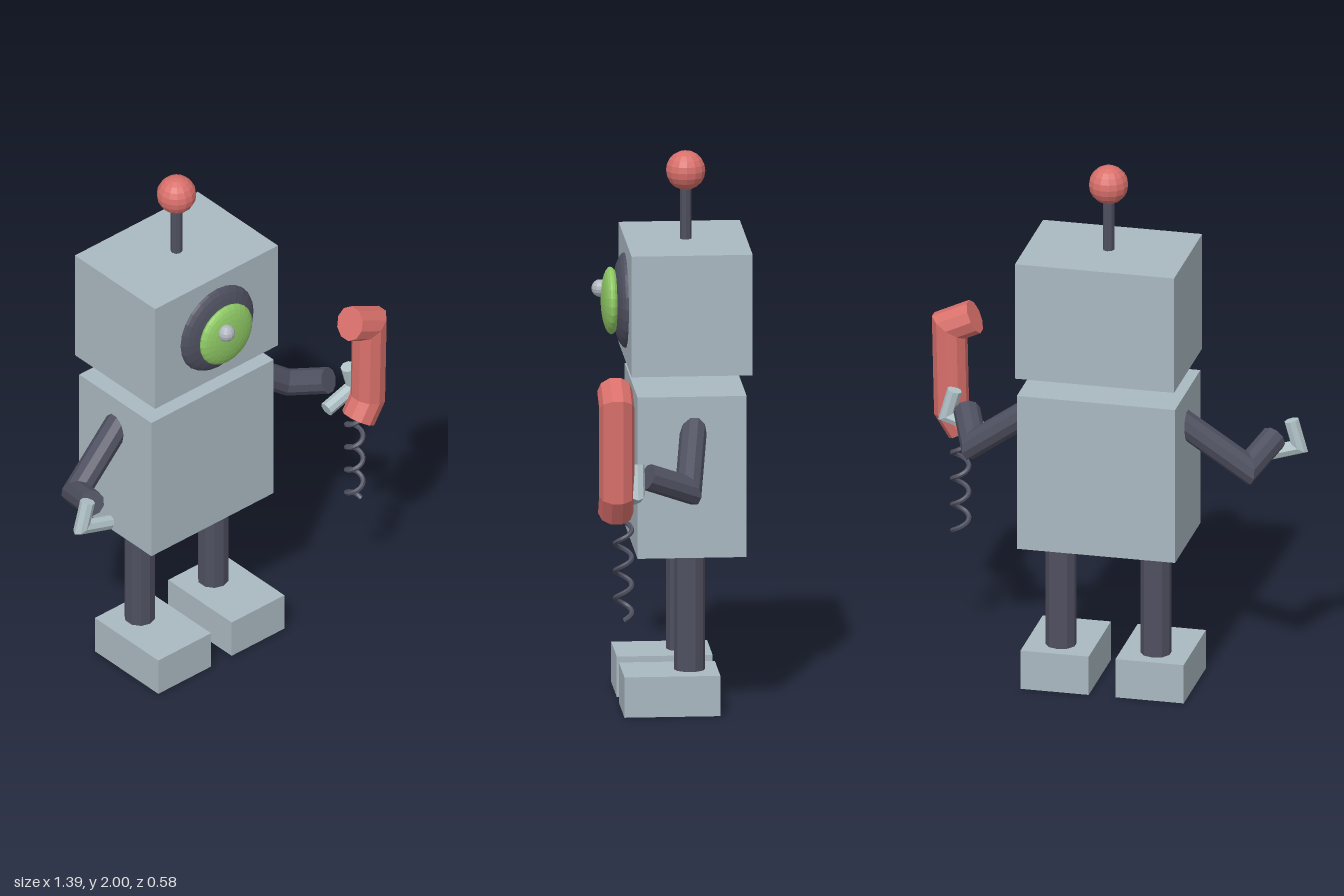
import * as THREE from 'three';

const CX = -0.02; // symmetry line of the body

const mat = (name, color) => {
  const m = new THREE.MeshStandardMaterial({ color, flatShading: true });
  m.name = name;
  return m;
};

// Closed tube of straight segments with mitred bends.
function bentTube(points, radius, sides) {
  const p = points.map((a) => new THREE.Vector3(...a));
  const dirs = p.slice(1).map((q, i) => q.clone().sub(p[i]).normalize());
  const d0 = dirs[0];
  const ref = Math.abs(d0.z) < 0.9 ? new THREE.Vector3(0, 0, 1) : new THREE.Vector3(0, 1, 0);
  const u = ref.addScaledVector(d0, -ref.dot(d0)).normalize();
  const v = d0.clone().cross(u);
  let ring = [];
  for (let j = 0; j < sides; j++) {
    const a = (j / sides) * Math.PI * 2;
    ring.push(p[0].clone().addScaledVector(u, radius * Math.cos(a)).addScaledVector(v, radius * Math.sin(a)));
  }
  const pos = [];
  const tri = (...c) => c.forEach((q) => pos.push(q.x, q.y, q.z));
  for (let j = 0; j < sides; j++) tri(p[0], ring[(j + 1) % sides], ring[j]);
  dirs.forEach((d, i) => {
    // slide the ring along the segment onto the next mitre plane
    const n = d.clone().add(dirs[i + 1] || d).normalize();
    const end = p[i + 1];
    const next = ring.map((q) => q.clone().addScaledVector(d, end.clone().sub(q).dot(n) / d.dot(n)));
    for (let j = 0; j < sides; j++) {
      const k = (j + 1) % sides;
      tri(ring[j], ring[k], next[j]);
      tri(ring[k], next[k], next[j]);
    }
    ring = next;
  });
  for (let j = 0; j < sides; j++) tri(p[p.length - 1], ring[j], ring[(j + 1) % sides]);
  const g = new THREE.BufferGeometry();
  g.setAttribute('position', new THREE.Float32BufferAttribute(pos, 3));
  g.computeVertexNormals();
  return g;
}

export function createModel() {
  const shell = mat('shell grey', 0xa9b8c0);
  const dark = mat('dark metal', 0x4f5060);
  const red = mat('red', 0xd9706b);
  const green = mat('eye green', 0x8fc965);
  const silver = mat('silver', 0xb0b6be);
  const claw = mat('claw grey', 0xb1c3c8);

  const model = new THREE.Group();
  model.name = 'robot';
  const add = (name, geometry, material, x = 0, y = 0, z = 0) => {
    const m = new THREE.Mesh(geometry, material);
    m.name = name;
    m.position.set(x, y, z);
    model.add(m);
    return m;
  };

  // Head and body
  add('head', new THREE.BoxGeometry(0.583, 0.44, 0.433), shell, CX, 1.46, -0.073);
  add('body', new THREE.BoxGeometry(0.58, 0.588, 0.39), shell, CX, 0.871, -0.073);

  // Antenna
  add('antennaRod', new THREE.CylinderGeometry(0.021, 0.021, 0.22, 8), dark, CX, 1.785, -0.073);
  add('antennaBall', new THREE.SphereGeometry(0.071, 14, 10), red, CX, 1.929, -0.073);

  // Single eye made of flattened balls, poles facing forward
  const eyeBall = (name, r, depth, material, z) => {
    const g = new THREE.SphereGeometry(r, 24, 14).rotateX(Math.PI / 2).scale(1, 1, depth / r);
    add(name, g, material, CX, 1.458, z);
  };
  eyeBall('eyeRim', 0.171, 0.047, dark, 0.143);
  eyeBall('eyeLens', 0.121, 0.035, green, 0.195);
  add('eyeGlint', new THREE.SphereGeometry(0.032, 12, 8), silver, -0.05, 1.497, 0.23);

  for (const s of [-1, 1]) {
    const side = s > 0 ? 'left' : 'right';
    const mirror = (pts) => pts.map(([x, y, z]) => [CX + s * x, y, z]);

    // Leg and foot
    add(side + 'Leg', new THREE.CylinderGeometry(0.056, 0.056, 0.46, 10), dark, CX + s * 0.174, 0.362, -0.073);
    add(side + 'Foot', new THREE.BoxGeometry(0.25, 0.147, 0.343), shell, CX + s * 0.174, 0.0735, -0.002);

    // Arm and two-part claw
    add(side + 'Arm', bentTube(mirror([[0.25, 1.06, -0.083], [0.502, 0.873, -0.043], [0.562, 0.935, 0.108]]), 0.048, 10), dark);
    add(side + 'Claw', bentTube(mirror([[0.515, 0.852, 0.15], [0.645, 0.893, 0.15], [0.617, 0.992, 0.15]]), 0.027, 8), claw);
  }

  // Telephone handset
  const handset = [[0.541, 1.25, 0.225], [0.633, 1.207, 0.225], [0.626, 0.887, 0.225], [0.58, 0.815, 0.225]];
  add('handset', bentTube(handset, 0.063, 10), red);

  // Coiled cord hanging from the handset
  const coil = [];
  for (let i = 0; i <= 48; i++) {
    const a = (i / 48) * Math.PI * 8;
    coil.push(new THREE.Vector3(0.587 + 0.03 * Math.cos(a), 0.83 - (0.4 * i) / 48, 0.198 + 0.03 * Math.sin(a)));
  }
  const cord = dark.clone();
  cord.side = THREE.DoubleSide;
  add('cord', new THREE.TubeGeometry(new THREE.CatmullRomCurve3(coil), 96, 0.009, 6), cord);

  return model;
}
